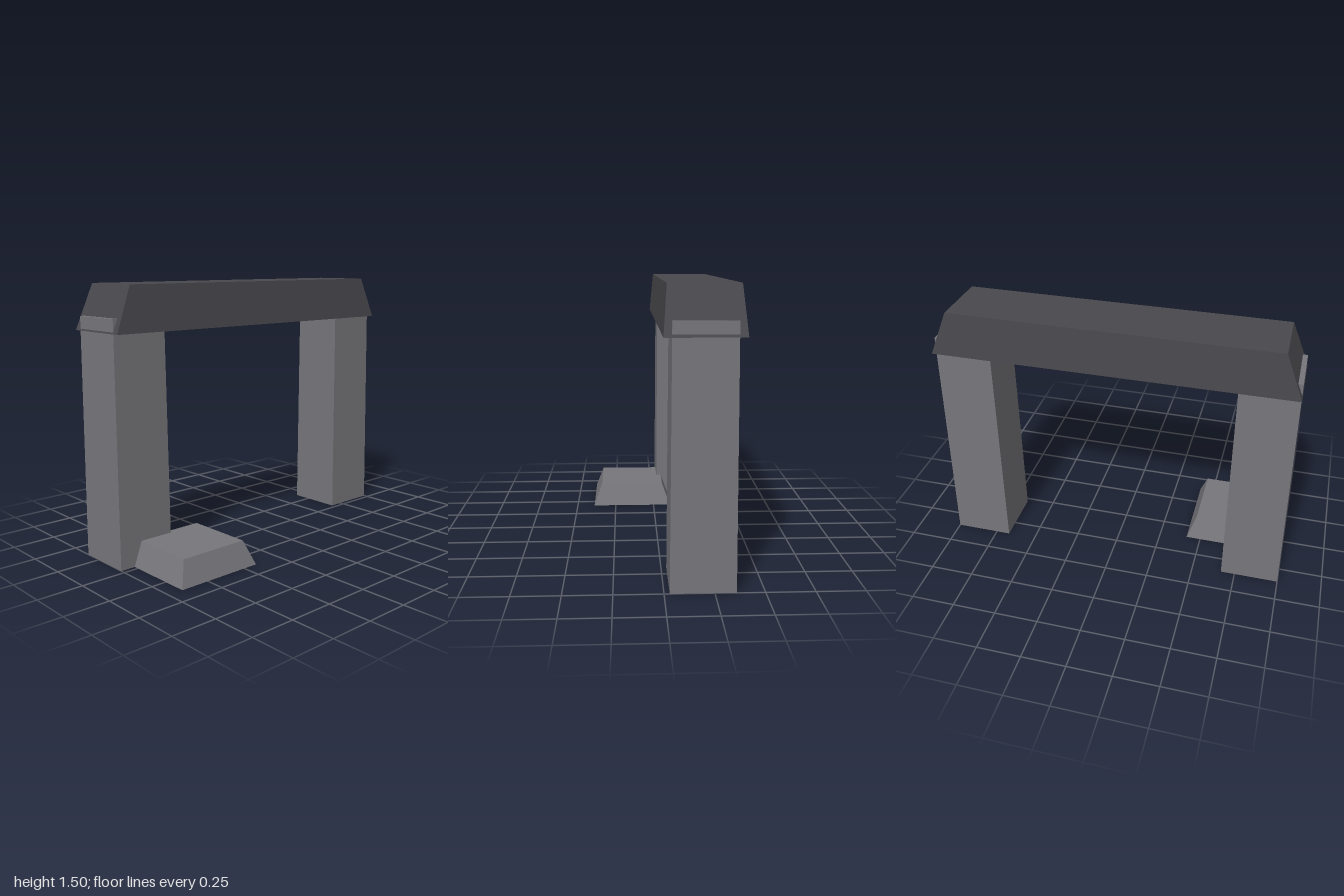
import * as THREE from 'three';

const stone = new THREE.MeshStandardMaterial({ color: 0x77767b });
stone.name = 'light grey stone';
const darkStone = new THREE.MeshStandardMaterial({ color: 0x49484d });
darkStone.name = 'dark grey stone';

// Tapered block between two rectangles, each given as [x0, x1, z0, z1]
function taperedBlock(name, material, y0, y1, bottom, top) {
  const geometry = new THREE.BoxGeometry(1, 1, 1);
  const p = geometry.attributes.position;
  for (let i = 0; i < p.count; i++) {
    const upper = p.getY(i) > 0;
    const r = upper ? top : bottom;
    p.setXYZ(i, r[p.getX(i) > 0 ? 1 : 0], upper ? y1 : y0, r[p.getZ(i) > 0 ? 3 : 2]);
  }
  geometry.computeVertexNormals();
  const mesh = new THREE.Mesh(geometry, material);
  mesh.name = name;
  return mesh;
}

export function createModel() {
  const group = new THREE.Group();
  group.name = 'stoneArch';

  // Two slightly tapering pillars whose tops poke through the lintel ends
  group.add(taperedBlock('frontPillar', stone, 0, 1.33,
    [-0.358, -0.028, 0.67, 1], [-0.35, -0.036, 0.678, 0.994]));
  group.add(taperedBlock('backPillar', stone, 0, 1.33,
    [-0.358, -0.028, -1, -0.668], [-0.35, -0.036, -0.992, -0.676]));

  // Lintel with sloping ends
  group.add(taperedBlock('lintel', darkStone, 1.253, 1.5,
    [-0.392, 0.005, -0.998, 0.998], [-0.372, -0.015, -0.9, 0.9]));

  // Low plinth beside the front pillar
  group.add(taperedBlock('plinth', stone, 0, 0.135,
    [-0.108, 0.39, 0.415, 0.915], [-0.058, 0.34, 0.465, 0.865]));

  return group;
}
